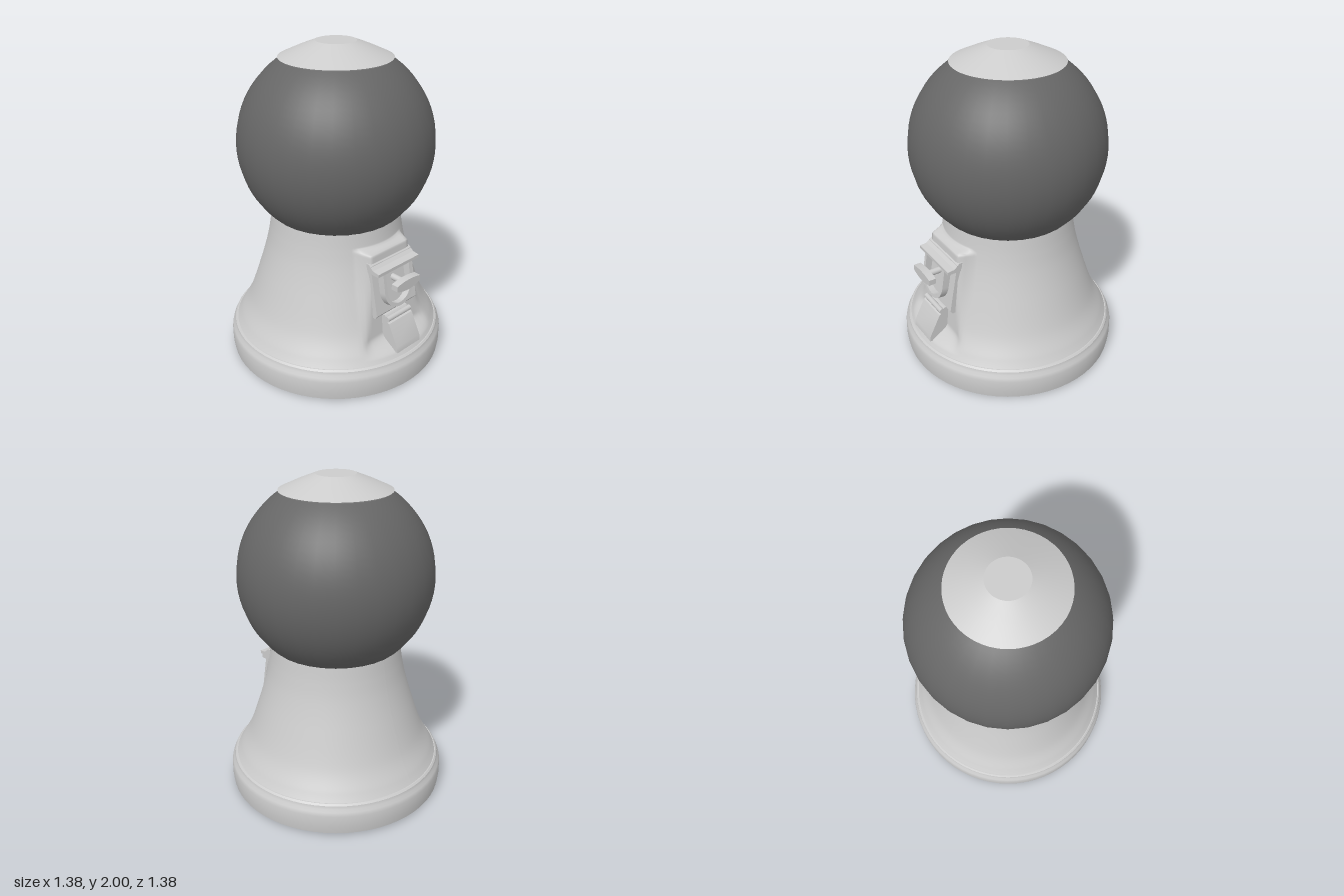
import * as THREE from 'three';
import { toCreasedNormals } from 'three/addons/utils/BufferGeometryUtils.js';

const grey = new THREE.MeshStandardMaterial({ color: 0xcccccc, side: THREE.DoubleSide });
const dark = new THREE.MeshStandardMaterial({ color: 0x666666 });
const { smoothstep, lerp } = THREE.MathUtils;
const vec = (pts) => pts.map(([x, y]) => new THREE.Vector2(x, y));

function part(parent, name, geometry, material = grey) {
  const mesh = new THREE.Mesh(geometry, material);
  mesh.name = name;
  parent.add(mesh);
  return mesh;
}

// Turned part with crisp corners
const turned = (pts, sides, crease = 0.5) => toCreasedNormals(new THREE.LatheGeometry(vec(pts), sides), crease);

// Side profile of (z, y) points, swept across the given width in x
function sideProfile(pts, width) {
  const g = new THREE.ExtrudeGeometry(new THREE.Shape(vec(pts)), { depth: width, bevelEnabled: false });
  g.rotateY(-Math.PI / 2);
  g.translate(width / 2, 0, 0);
  return toCreasedNormals(g, 0.4);
}

// Flared body whose front is pressed into a flat, leaning panel
function bodyGeometry() {
  const curve = new THREE.SplineCurve(vec([
    [0.655, 0.2], [0.625, 0.25], [0.56, 0.37], [0.487, 0.58], [0.44, 0.74], [0.415, 0.86], [0.4, 0.965],
  ]));
  const g = new THREE.LatheGeometry(curve.getPoints(84), 128, Math.PI);
  const p = g.attributes.position;
  for (let i = 0; i < p.count; i++) {
    const x = p.getX(i), y = p.getY(i), z = p.getZ(i);
    const angle = Math.abs(Math.atan2(x, z));
    const across = 1 - smoothstep(angle, 0.38, 0.5);
    const up = smoothstep(y, 0.225, 0.32) * (1 - smoothstep(y, 0.84, 0.87));
    const panel = 0.458 + (0.86 - y) * 0.11;
    p.setZ(i, lerp(z, panel, across * up));
  }
  g.computeVertexNormals();
  return g;
}

function addCoinMechanism(parent) {
  const group = new THREE.Group();
  group.name = 'coinMechanism';
  parent.add(group);

  part(group, 'coinPlate', sideProfile(
    [[0.44, 0.79], [0.475, 0.79], [0.535, 0.475], [0.52, 0.455], [0.47, 0.455]], 0.35));
  part(group, 'coinPlateHeader', sideProfile(
    [[0.44, 0.8], [0.46, 0.8], [0.495, 0.77], [0.54, 0.765], [0.54, 0.745], [0.45, 0.745]], 0.352));

  // U-shaped rim, leaning with the panel
  const rim = new THREE.Shape();
  rim.moveTo(-0.122, 0.14);
  rim.lineTo(-0.122, 0);
  rim.absarc(0, 0, 0.122, Math.PI, Math.PI * 2, false);
  rim.lineTo(0.122, 0.14);
  rim.lineTo(0.1, 0.14);
  rim.lineTo(0.1, 0);
  rim.absarc(0, 0, 0.1, Math.PI * 2, Math.PI, true);
  rim.lineTo(-0.1, 0.14);
  const rimMesh = part(group, 'handleRim', toCreasedNormals(
    new THREE.ExtrudeGeometry(rim, { depth: 0.05, bevelEnabled: false, curveSegments: 16 }), 0.5));
  rimMesh.position.set(-0.005, 0.612, 0.502);
  rimMesh.rotation.x = -0.16;

  // Lens-shaped turning handle on a short stem
  const lens = new THREE.Shape();
  lens.moveTo(-0.1, 0.02);
  lens.quadraticCurveTo(0, 0.046, 0.1, 0.02);
  lens.lineTo(0.1, -0.015);
  lens.quadraticCurveTo(0, -0.055, -0.1, -0.015);
  lens.closePath();
  const handle = part(group, 'turningHandle', toCreasedNormals(
    new THREE.ExtrudeGeometry(lens, { depth: 0.045, bevelEnabled: false, curveSegments: 10 }), 0.5));
  handle.position.set(-0.005, 0.672, 0.58);
  const stem = part(group, 'handleStem', new THREE.CylinderGeometry(0.02, 0.02, 0.12, 16));
  stem.rotation.x = Math.PI / 2;
  stem.position.set(-0.005, 0.668, 0.54);
}

function addChute(parent) {
  const group = new THREE.Group();
  group.name = 'chute';
  parent.add(group);

  part(group, 'chuteBody', sideProfile(
    [[0.49, 0.45], [0.53, 0.45], [0.565, 0.41], [0.628, 0.275], [0.63, 0.235], [0.5, 0.235]], 0.19));
  part(group, 'chuteFlap', sideProfile(
    [[0.56, 0.415], [0.572, 0.41], [0.642, 0.275], [0.647, 0.238], [0.63, 0.238], [0.628, 0.275]], 0.205));
  const hinge = part(group, 'flapHinge', new THREE.CylinderGeometry(0.017, 0.017, 0.2, 12));
  hinge.rotation.z = Math.PI / 2;
  hinge.position.set(0, 0.432, 0.552);
  group.position.x = -0.004;
}

export function createModel() {
  const model = new THREE.Group();
  model.name = 'candyDispenser';

  part(model, 'foot', turned([
    [0, 0], [0.665, 0], [0.683, 0.012], [0.69, 0.06], [0.69, 0.135], [0.684, 0.16],
    [0.672, 0.175], [0.668, 0.195], [0.658, 0.205], [0.64, 0.205],
  ], 64));
  part(model, 'body', bodyGeometry());

  // Globe, open where the cap and body cover it
  const globe = part(model, 'globe',
    new THREE.SphereGeometry(0.595, 32, 24, 0, Math.PI * 2, 0.48, 1.97), dark);
  globe.position.y = 1.4;

  part(model, 'cap', turned([
    [0, 1.9], [0.325, 1.9], [0.335, 1.908], [0.225, 1.958], [0.12, 2], [0, 2],
  ], 48, 0.3));

  addCoinMechanism(model);
  addChute(model);
  return model;
}
